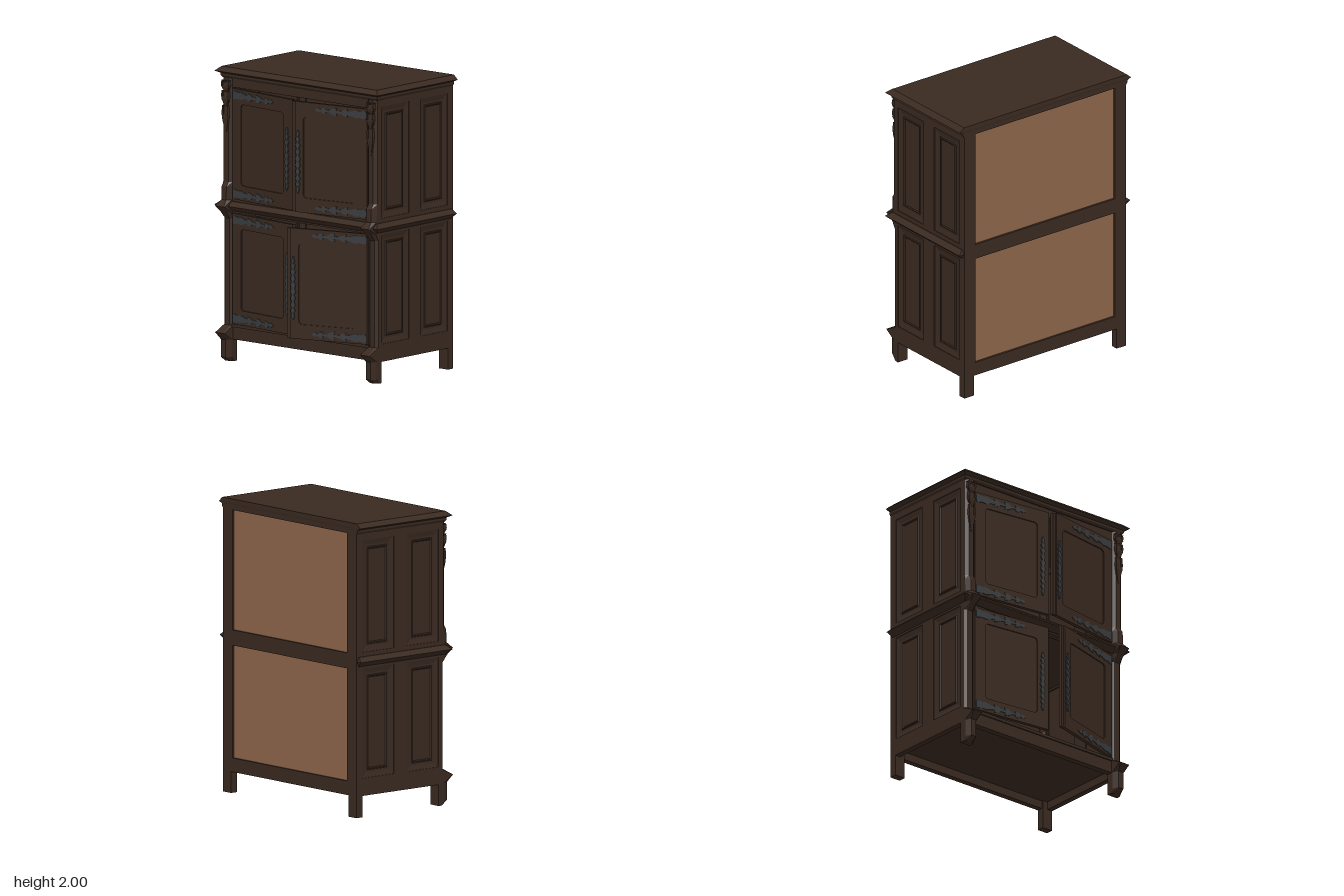
import * as THREE from 'three';

const wood = new THREE.MeshStandardMaterial({ color: 0x3a2a21 });
wood.name = 'darkOak';
const paleWood = new THREE.MeshStandardMaterial({ color: 0x8f664c });
paleWood.name = 'paleBackBoard';
const iron = new THREE.MeshStandardMaterial({ color: 0x3a3d40 });
iron.name = 'iron';

function add(parent, name, geometry, material = wood) {
  const m = new THREE.Mesh(geometry, material);
  m.name = name;
  parent.add(m);
  return m;
}

// Box given by its limits
function box(x0, x1, y0, y1, z0, z1) {
  return new THREE.BoxGeometry(Math.abs(x1 - x0), y1 - y0, z1 - z0)
    .translate((x0 + x1) / 2, (y0 + y1) / 2, (z0 + z1) / 2);
}

// Solid through rectangles [y, x0, x1, z0, z1] stacked upwards;
// optional cx, cz cut off the two front corners
function stack(rings) {
  const pos = [];
  const corners = ([y, x0, x1, z0, z1, cx, cz]) => (cx
    ? [[x0, y, z1 - cz], [x0 + cx, y, z1], [x1 - cx, y, z1], [x1, y, z1 - cz], [x1, y, z0], [x0, y, z0]]
    : [[x0, y, z1], [x1, y, z1], [x1, y, z0], [x0, y, z0]]);
  const loops = rings.map(corners), n = loops[0].length;
  const tri = (a, b, c) => pos.push(...a, ...b, ...c);
  for (let i = 0; i < loops.length - 1; i++) {
    const a = loops[i], b = loops[i + 1];
    for (let k = 0; k < n; k++) {
      const j = (k + 1) % n;
      tri(a[k], a[j], b[j]);
      tri(a[k], b[j], b[k]);
    }
  }
  const lo = loops[0], hi = loops[loops.length - 1];
  for (let k = 1; k < n - 1; k++) {
    tri(lo[0], lo[k + 1], lo[k]);
    tri(hi[0], hi[k], hi[k + 1]);
  }
  const g = new THREE.BufferGeometry();
  g.setAttribute('position', new THREE.Float32BufferAttribute(pos, 3));
  g.computeVertexNormals();
  return g;
}

const polygon = (pts) => new THREE.Shape(pts.map(([x, y]) => new THREE.Vector2(x, y)));
const rect = (x0, x1, y0, y1) => polygon([[x0, y0], [x1, y0], [x1, y1], [x0, y1]]);
const extrude = (shape, depth) =>
  new THREE.ExtrudeGeometry(shape, { depth, bevelEnabled: false, curveSegments: 5 });

// Outline in (z, y), extruded from x0 to x1
const extrudeX = (shape, x0, x1) =>
  extrude(shape, x1 - x0).rotateY(-Math.PI / 2).translate(x1, 0, 0);

function roundedRect(x0, x1, y0, y1, r) {
  const s = new THREE.Shape();
  s.absarc(x1 - r, y1 - r, r, 0, Math.PI / 2);
  s.absarc(x0 + r, y1 - r, r, Math.PI / 2, Math.PI);
  s.absarc(x0 + r, y0 + r, r, Math.PI, Math.PI * 1.5);
  s.absarc(x1 - r, y0 + r, r, Math.PI * 1.5, Math.PI * 2);
  s.closePath();
  return s;
}

// Half outlines [along, half width] of the ironwork
const strapHalf = [[0, 0.02], [0.01, 0.03], [0.05, 0.022], [0.08, 0.027], [0.12, 0.015], [0.15, 0.012],
  [0.145, 0.028], [0.175, 0.022], [0.195, 0.009], [0.235, 0.008], [0.23, 0.027], [0.265, 0.022],
  [0.285, 0.007], [0.32, 0.006], [0.315, 0.021], [0.345, 0.018], [0.355, 0.006], [0.375, 0.015], [0.405, 0]];
const pullHalf = [[0, 0.003], [0.03, 0.012], [0.045, 0.005], [0.06, 0.017], [0.085, 0.006], [0.1, 0.02],
  [0.125, 0.008], [0.15, 0.018], [0.17, 0.007], [0.19, 0.02], [0.215, 0.012]];
const mirrored = (half) => [...half, ...half.slice().reverse().map(([u, h]) => [u, -h])];

// One door: hinged at x = side * 0.6, swung open by angle
function door(name, side, y0, y1, angle) {
  const g = new THREE.Group();
  g.name = name;
  const w = side > 0 ? 0.571 : 0.595, X = (u) => -side * u;
  const span = (a, b) => (side > 0 ? [X(b), X(a)] : [X(a), X(b)]);
  const frame = rect(...span(0, w), y0, y1);
  const [p0, p1] = span(0.085, 0.505);
  frame.holes.push(roundedRect(p0, p1, y0 + 0.1, y1 - 0.1, 0.025));
  add(g, 'doorFrame', extrude(frame, 0.025).translate(0, 0, -0.025));
  add(g, 'doorPanel', box(p0 - 0.01, p1 + 0.01, y0 + 0.09, y1 - 0.09, -0.02, -0.008));
  // Rebated meeting strip on the model's left doors
  if (side > 0) add(g, 'meetingStrip', box(X(w - 0.005), X(0.597), y0 + 0.003, y1 - 0.003, -0.03, -0.01));
  // Strap hinges
  for (const y of [y0 + 0.04, y1 - 0.043]) {
    const pts = mirrored(strapHalf).map(([u, h]) => [X(u + 0.008), y + h]);
    add(g, 'strapHinge', extrude(polygon(pts), 0.005), iron);
  }
  // Pull plate
  const cy = (y0 + y1) / 2 - 0.033, cu = X(0.545);
  for (const d of [-1, 1]) {
    const pts = mirrored(pullHalf).map(([v, h]) => [cu + h, cy + d * (0.215 - v)]);
    add(g, 'pullPlate', extrude(polygon(pts), 0.009), iron);
  }
  g.position.set(side * 0.6, 0, 0.305);
  g.rotation.y = side * THREE.MathUtils.degToRad(angle);
  return g;
}

// Panelled side wall
function sideWall(s) {
  const g = new THREE.Group();
  g.name = s > 0 ? 'leftSide' : 'rightSide';
  const wall = rect(-0.47, 0.285, 0.145, 1.94);
  for (const [y0, y1] of [[0.265, 1.01], [1.12, 1.88]]) {
    for (const [z0, z1] of [[-0.415, -0.14], [-0.025, 0.255]]) {
      wall.holes.push(rect(z0, z1, y0, y1));
      // Raised field with bevelled edges
      const h = (y1 - y0) / 2, ring = (d, inset) => [d, inset - h, h - inset, z0 + inset, z1 - inset];
      const field = stack([ring(0.655, 0), ring(0.68, 0), ring(0.672, 0.035), ring(0.672, 0.05),
        ring(0.679, 0.054), ring(0.679, 0.06), ring(0.673, 0.066)]);
      add(g, 'sidePanel', field.rotateZ(-s * Math.PI / 2).translate(0, (y0 + y1) / 2, 0));
    }
  }
  add(g, 'sideFrame', extrudeX(wall, s > 0 ? 0.645 : -0.685, s > 0 ? 0.685 : -0.645));
  return g;
}

// Front foot, chamfered post and hanging carving
function frontCorner(s) {
  const g = new THREE.Group();
  g.name = s > 0 ? 'leftFrontPost' : 'rightFrontPost';
  const x0 = s > 0 ? 0.603 : -0.685, x1 = x0 + 0.082, c = (x0 + x1) / 2;
  // [height, front z, chamfer across, chamfer deep]
  const post = [[0, 0.302, 0.02, 0.02], [0.03, 0.345, 0.02, 0.04], [0.15, 0.345, 0.02, 0.04],
    [0.2, 0.385, 0.004, 0.004], [0.245, 0.305, 0.02, 0.018], [0.97, 0.305, 0.02, 0.018],
    [1.02, 0.345, 0.015, 0.03], [1.06, 0.385, 0.004, 0.004], [1.1, 0.342, 0.02, 0.035],
    [1.19, 0.338, 0.02, 0.035], [1.22, 0.318, 0.02, 0.02], [1.93, 0.318, 0.02, 0.02]];
  add(g, 'frontPost', stack(post.map(([y, z, cx, cz]) => [y, x0, x1, 0.255, z, cx, cz])));
  // Tiers of pointed drops
  for (const [y, len, hw, z] of [[1.91, 0.09, 0.034, 0.33], [1.84, 0.12, 0.03, 0.332], [1.74, 0.19, 0.026, 0.33]]) {
    add(g, 'carvedDrop', stack([[y - len, c - 0.004, c + 0.004, 0.305, 0.32],
      [y - len * 0.45, c - hw, c + hw, 0.29, z], [y - 0.012, c - hw * 0.75, c + hw * 0.75, 0.29, z - 0.006],
      [y, c - hw, c + hw, 0.29, z]]));
    for (const d of [-1, 1]) {
      const cx = c + d * hw * 0.75;
      add(g, 'carvedPinnacle', stack([[y - len * 0.7, cx - 0.002, cx + 0.002, 0.29, 0.318],
        [y - len * 0.3, cx - 0.008, cx + 0.008, 0.29, z + 0.003], [y, cx - 0.005, cx + 0.005, 0.29, z]]));
    }
  }
  return g;
}

export function createModel() {
  const model = new THREE.Group();
  model.name = 'cabinet';

  // Mouldings, flush at the back
  add(model, 'topCornice', stack([[1.925, -0.685, 0.685, -0.47, 0.305], [1.94, -0.695, 0.695, -0.47, 0.315],
    [1.955, -0.695, 0.695, -0.47, 0.315], [1.97, -0.725, 0.725, -0.472, 0.345], [2, -0.69, 0.69, -0.472, 0.31]]));
  add(model, 'middleCornice', stack([[1.025, -0.685, 0.685, -0.45, 0.305], [1.06, -0.725, 0.725, -0.465, 0.345],
    [1.09, -0.69, 0.69, -0.45, 0.31]]));

  // Front rails
  add(model, 'bottomRail', box(-0.61, 0.61, 0.15, 0.235, 0.25, 0.295));
  add(model, 'bottomRailMoulding', box(-0.61, 0.61, 0.235, 0.255, 0.25, 0.305));
  add(model, 'middleRail', box(-0.61, 0.61, 1.012, 1.105, 0.25, 0.3));
  add(model, 'topRail', box(-0.61, 0.61, 1.865, 1.94, 0.25, 0.298));
  add(model, 'doorCatch', box(0, 0.02, 0.255, 0.272, 0.28, 0.3), paleWood);

  // Back frame and boards, dark on the inside
  for (const [y0, y1] of [[0.145, 0.24], [1.005, 1.11], [1.925, 1.95]])
    add(model, 'backRail', box(-0.6, 0.6, y0, y1, -0.47, -0.43));
  for (const [y0, y1] of [[0.22, 1.03], [1.09, 1.94]]) {
    add(model, 'backBoard', box(-0.6, 0.6, y0, y1, -0.455, -0.443), paleWood);
    add(model, 'innerBack', box(-0.62, 0.62, y0, y1, -0.443, -0.436));
  }
  add(model, 'floorBoard', box(-0.65, 0.65, 0.2, 0.23, -0.44, 0.27));

  for (const s of [-1, 1]) {
    model.add(sideWall(s), frontCorner(s));
    const [a, b] = s > 0 ? [0.59, 0.685] : [-0.685, -0.59];
    add(model, 'backStile', box(a, b, 0.145, 1.94, -0.47, -0.43));
    add(model, 'backFoot', box(s > 0 ? 0.605 : -0.685, s > 0 ? 0.685 : -0.605, 0, 0.2, -0.47, -0.418));
  }

  // Doors standing slightly open
  model.add(
    door('upperRightDoor', -1, 1.107, 1.86, 6.3),
    door('upperLeftDoor', 1, 1.107, 1.86, 9.2),
    door('lowerRightDoor', -1, 0.258, 1.01, 6),
    door('lowerLeftDoor', 1, 0.258, 1.01, 16.3),
  );
  return model;
}
